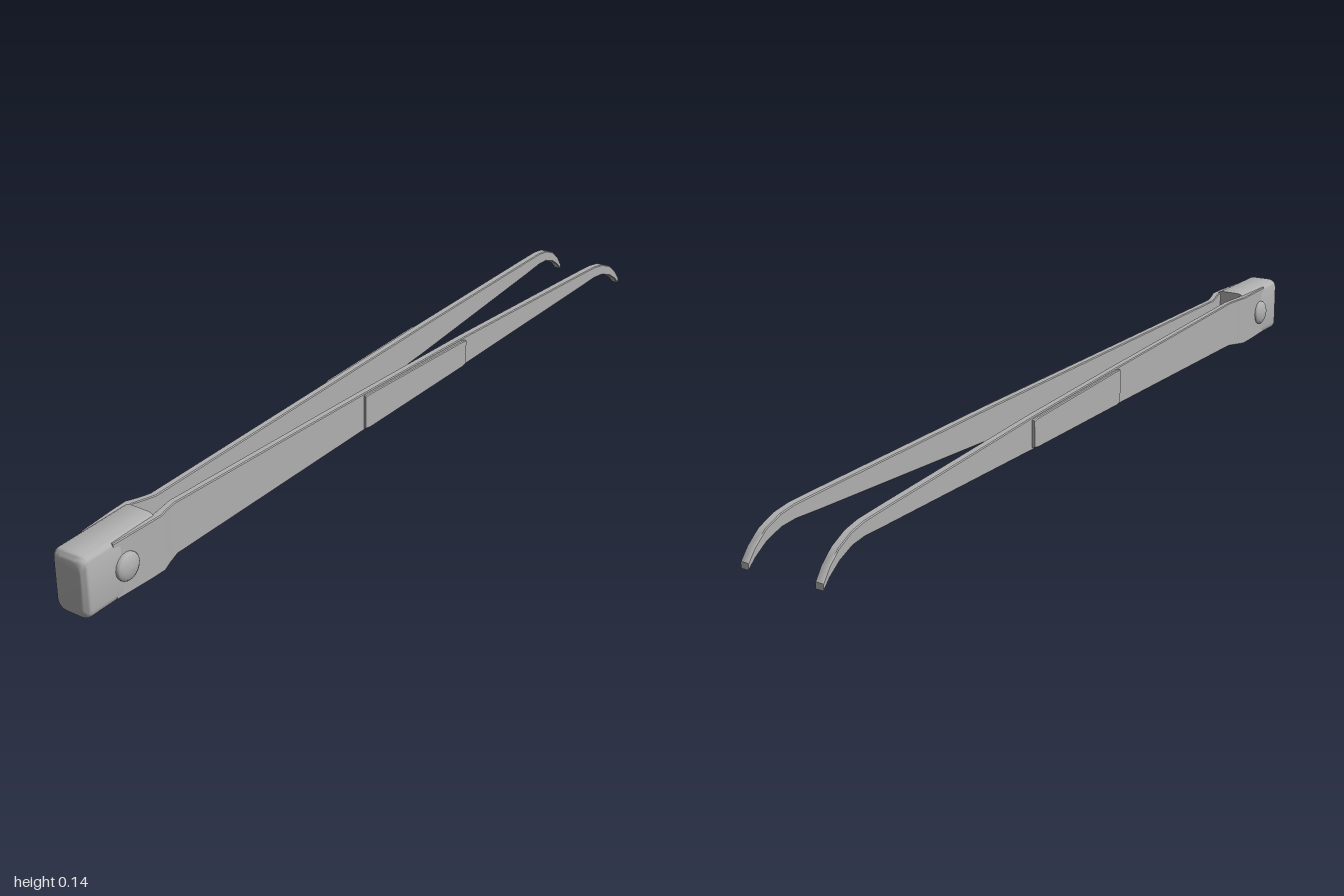
import * as THREE from 'three';
import { toCreasedNormals } from 'three/addons/utils/BufferGeometryUtils.js';

const steel = new THREE.MeshStandardMaterial({ color: 0xb0b0b0 });
steel.name = 'brushed steel';

// Rounded rectangle ring, counter-clockwise seen from +z
function ring([z, x, halfW, y0, y1], r, seg) {
  const points = [];
  const corners = [[1, 1], [-1, 1], [-1, -1], [1, -1]];
  corners.forEach(([sx, sy], c) => {
    for (let k = 0; k <= seg; k++) {
      const a = (c + k / seg) * Math.PI / 2;
      points.push([
        x + sx * (halfW - r) + r * Math.cos(a),
        (y0 + y1) / 2 + sy * ((y1 - y0) / 2 - r) + r * Math.sin(a), z]);
    }
  });
  return points;
}

// Skin over stations [z, x centre, half width, bottom, top], running from front to back
function loft(stations, radius, seg, crease = 0.6) {
  const rings = stations.map((s) => ring(s, radius, seg));
  const n = rings[0].length, index = [];
  for (let i = 0; i < rings.length - 1; i++) {
    for (let j = 0; j < n; j++) {
      const a = i * n + j, b = i * n + (j + 1) % n;
      index.push(a, a + n, b, b, a + n, b + n);
    }
  }
  const last = (rings.length - 1) * n;
  for (let j = 1; j < n - 1; j++) {
    index.push(0, j, j + 1, last, last + j + 1, last + j);
  }
  const g = new THREE.BufferGeometry();
  g.setAttribute('position', new THREE.Float32BufferAttribute(rings.flat(2), 3));
  g.setIndex(index);
  return toCreasedNormals(g, crease);
}

function add(parent, geometry, name) {
  const mesh = new THREE.Mesh(geometry, steel);
  mesh.name = name;
  parent.add(mesh);
  return mesh;
}

export function createModel() {
  const model = new THREE.Group();
  model.name = 'tweezers';

  // End block with a softened front edge
  const block = [];
  for (let i = 0; i <= 5; i++) {
    const a = i / 5 * Math.PI / 2, inset = 0.014 * (1 - Math.sin(a));
    block.push([0.986 + 0.014 * Math.cos(a), 0, 0.042 - inset, 0.005 + inset, 0.142 - inset]);
  }
  block.push([0.8, 0, 0.042, 0.005, 0.142]);
  add(model, loft(block, 0.02, 5, 0.7), 'endBlock');

  // Arm: flared over the block, pinched at the neck, tapering to a hooked tip
  const arm = [
    [0.92, 0.033, 0.008, 0.013, 0.136],
    [0.83, 0.037, 0.009, 0.012, 0.137],
    [0.79, 0.038, 0.009, 0.012, 0.137],
    [0.765, 0.031, 0.008, 0.014, 0.135],
    [0.735, 0.024, 0.008, 0.017, 0.133],
    [0.12, 0.043, 0.0085, 0.03, 0.12],
    [-0.265, 0.057, 0.009, 0.038, 0.111],
    [-0.8, 0.079, 0.0095, 0.055, 0.092],
    [-0.87, 0.082, 0.0095, 0.058, 0.089],
    [-0.91, 0.084, 0.0095, 0.054, 0.082],
    [-0.95, 0.086, 0.0095, 0.039, 0.065],
    [-0.98, 0.087, 0.0095, 0.019, 0.04],
    [-1, 0.088, 0.0095, 0, 0.014]];

  // Thin finger pad on the outer face of the arm
  const pad = [
    [0.125, 0.05, 0.007, 0.035, 0.115],
    [0.11, 0.051, 0.0075, 0.033, 0.117],
    [-0.25, 0.064, 0.0085, 0.041, 0.108],
    [-0.265, 0.0645, 0.0085, 0.044, 0.105]];

  // Domed rivet head
  const rivet = [[0.03, 0], [0.03, 0.008], [0.028, 0.011], [0.022, 0.0145], [0.012, 0.017], [0, 0.018]]
    .map(([r, h]) => new THREE.Vector2(r, h));

  for (const side of [1, -1]) {
    const half = new THREE.Group();
    half.name = side > 0 ? 'leftHalf' : 'rightHalf';
    model.add(half);
    const mirror = (list) => list.map(([z, x, ...rest]) => [z, side * x, ...rest]);
    add(half, loft(mirror(arm), 0.002, 1), 'arm');
    add(half, loft(mirror(pad), 0.002, 1), 'fingerPad');
    const head = add(half, new THREE.LatheGeometry(rivet, 28), 'rivet');
    head.rotation.z = -side * Math.PI / 2;
    head.position.set(side * 0.039, 0.074, 0.89);
  }
  return model;
}
